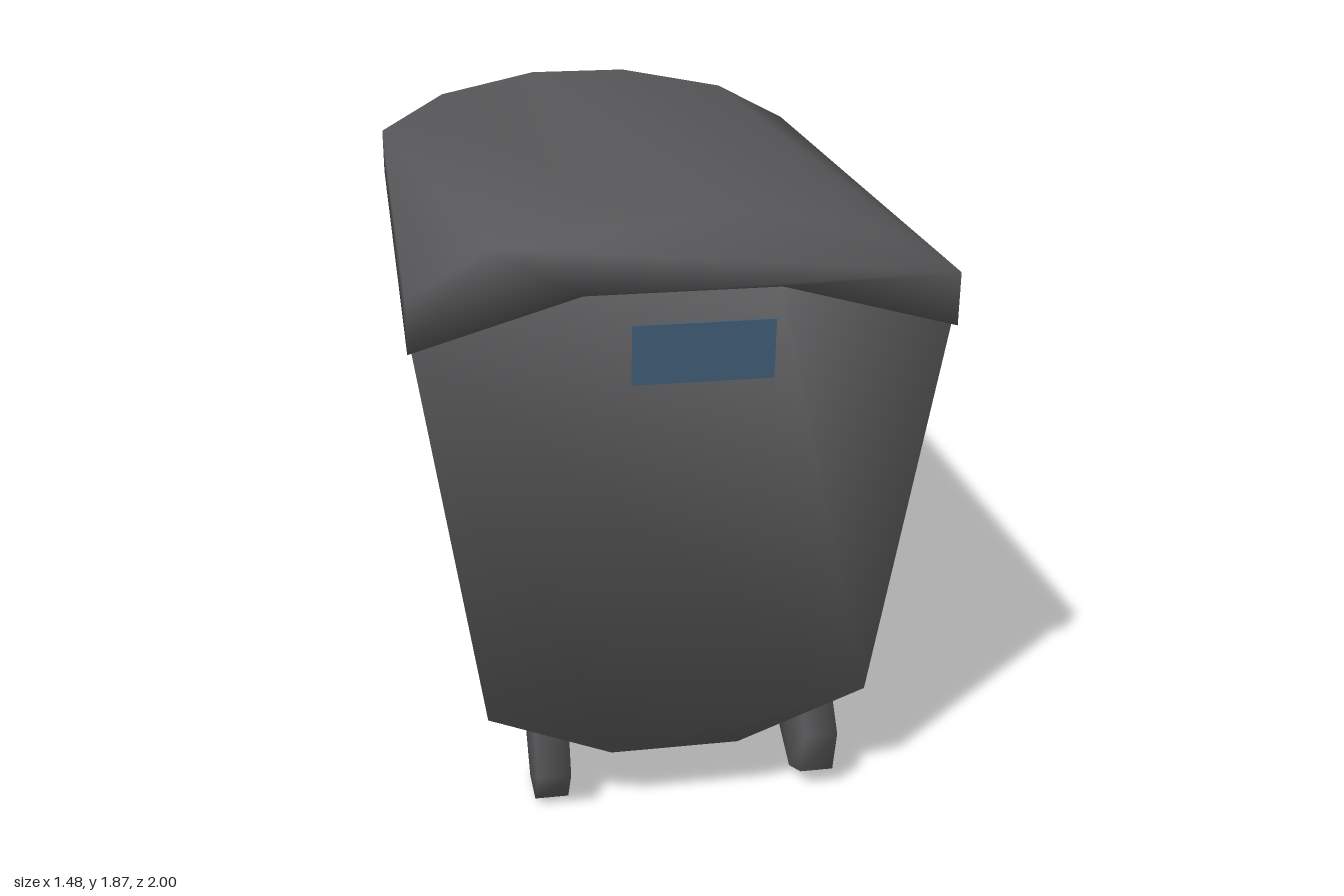
import * as THREE from 'three';

// Closed prism along z with shared corners, so shading runs softly over the edges.
// halfDepth(y) gives the half length at each height. Profile is counter-clockwise.
function softPrism(profile, halfDepth) {
  const n = profile.length;
  const positions = [], index = [];
  for (const side of [1, -1]) {
    for (const [x, y] of profile) positions.push(x, y, side * halfDepth(y));
  }
  const outline = profile.map(([x, y]) => new THREE.Vector2(x, y));
  for (const [a, b, c] of THREE.ShapeUtils.triangulateShape(outline, [])) {
    index.push(a, b, c, n + a, n + c, n + b);
  }
  for (let i = 0; i < n; i++) {
    const j = (i + 1) % n;
    index.push(i, n + i, n + j, i, n + j, j);
  }
  const geometry = new THREE.BufferGeometry();
  geometry.setAttribute('position', new THREE.Float32BufferAttribute(positions, 3));
  geometry.setIndex(index);
  geometry.computeVertexNormals();
  return geometry;
}

export function createModel() {
  const plastic = new THREE.MeshStandardMaterial({ name: 'dark grey plastic', color: 0x575759 });
  const blue = new THREE.MeshStandardMaterial({ name: 'blue label', color: 0x3f5c76 });
  const model = new THREE.Group();
  model.name = 'wheeledBin';

  const add = (name, geometry, material) => {
    const mesh = new THREE.Mesh(geometry, material);
    mesh.name = name;
    model.add(mesh);
    return mesh;
  };

  // Tub, tapering towards the floor
  const tubDepth = (y) => 0.92 + 0.046 * (y - 0.22);
  add('tub', softPrism([
    [-0.2, 0.22], [0.18, 0.22], [0.56, 0.37], [0.73, 1.53],
    [0.25, 1.665], [-0.28, 1.665], [-0.73, 1.53], [-0.56, 0.37],
  ], tubDepth), plastic);

  // Arched lid
  add('lid', softPrism([
    [-0.74, 1.525], [-0.28, 1.66], [0.25, 1.66], [0.74, 1.525], [0.74, 1.675],
    [0.5, 1.8], [0.14, 1.87], [-0.19, 1.87], [-0.52, 1.8], [-0.74, 1.675],
  ], () => 1), plastic);

  // Label plates on both ends, leaning with the tub wall
  for (const side of [1, -1]) {
    const label = add(side > 0 ? 'frontLabel' : 'backLabel',
      new THREE.BoxGeometry(0.39, 0.17, 0.008), blue);
    label.position.set(0.045, 1.482, side * (tubDepth(1.482) + 0.002));
    label.rotation.x = side * 0.046;
  }

  // Seven-sided wheels
  const wheelShape = [];
  for (let i = 0; i < 7; i++) {
    const a = -Math.PI / 2 + (i / 7) * Math.PI * 2;
    wheelShape.push([0.17 * Math.cos(a), 0.17 * Math.sin(a)]);
  }
  const wheelGeometry = softPrism(wheelShape, () => 0.05).rotateY(Math.PI / 2);
  for (const [xName, x] of [['Left', 0.44], ['Right', -0.37]]) {
    for (const [zName, z] of [['front', 0.745], ['back', -0.675]]) {
      const wheel = add(`${zName}${xName}Wheel`, wheelGeometry, plastic);
      wheel.position.set(x, 0.17, z);
      wheel.rotation.x = (x < 0 ? 0.35 : 0) + (z < 0 ? 0.42 : 0);
    }
  }
  return model;
}
